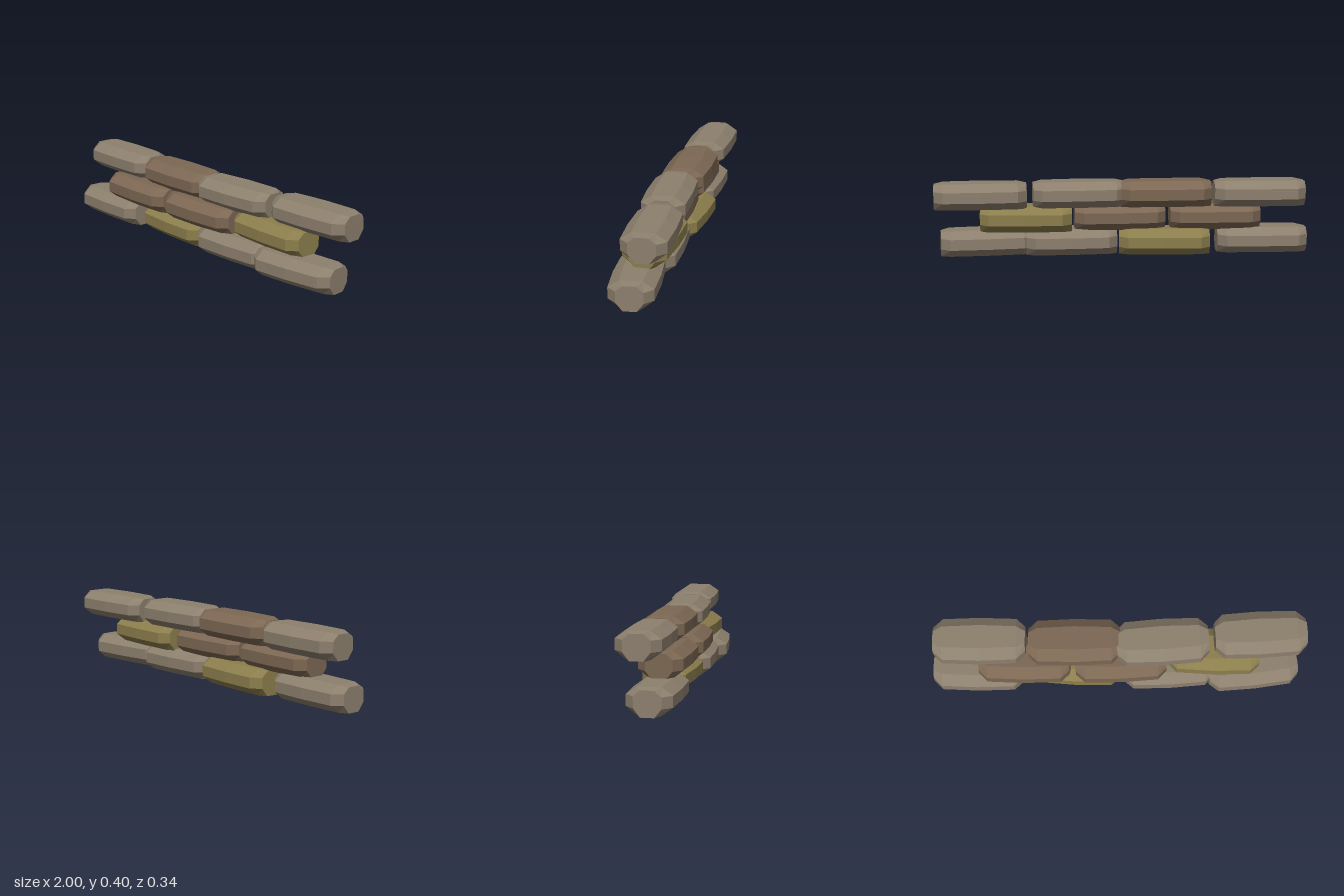
import * as THREE from 'three';

const COLORS = { taupe: 0x8c7f6d, brown: 0x7c6753, gold: 0x8b7d4c };

// Stations along a bag: x, half depth, half width of the flat, top height
const STATIONS = [
  [-0.243, 0.068, 0.034, 0.130],
  [-0.195, 0.114, 0.058, 0.138],
  [0, 0.121, 0.065, 0.139],
  [0.195, 0.114, 0.058, 0.138],
  [0.243, 0.068, 0.034, 0.130],
];

// Octagonal cross-section, starting at the front lower corner
function ring([x, depth, flat, top]) {
  return [
    [depth, 0.043], [depth, 0.1], [flat, top], [-flat, top],
    [-depth, 0.1], [-depth, 0.043], [-flat, 0], [flat, 0],
  ].map(([z, y]) => [x, y, z]);
}

// Loft the sections into a faceted bag closed at both ends
function bagGeometry() {
  const rings = STATIONS.map(ring);
  const n = 8, last = rings.length - 1, pos = [];
  const tri = (a, b, c) => pos.push(...a, ...b, ...c);
  for (let i = 0; i < last; i++) {
    for (let j = 0; j < n; j++) {
      const k = (j + 1) % n;
      const a = rings[i][j], b = rings[i + 1][j], c = rings[i + 1][k], d = rings[i][k];
      tri(a, b, c);
      tri(a, c, d);
    }
  }
  for (let j = 1; j < n - 1; j++) {
    tri(rings[0][0], rings[0][j], rings[0][j + 1]);
    tri(rings[last][0], rings[last][j + 1], rings[last][j]);
  }
  const geo = new THREE.BufferGeometry();
  geo.setAttribute('position', new THREE.Float32BufferAttribute(pos, 3));
  geo.computeVertexNormals();
  return geo;
}

// Courses of the wall; each bag is x, z, turn, colour
const COURSES = [
  { name: 'bottomCourse', y: 0, bags: [
    [-0.755, 0.005, -0.03, 'taupe'],
    [-0.225, -0.015, -0.07, 'gold'],
    [0.275, 0.015, 0.03, 'taupe'],
    [0.73, 0.03, 0.09, 'taupe'],
  ] },
  { name: 'middleCourse', y: 0.131, bags: [
    [-0.5, 0.012, -0.03, 'brown'],
    [0.015, 0.02, 0.02, 'brown'],
    [0.515, -0.012, -0.05, 'gold'],
  ] },
  { name: 'topCourse', y: 0.261, bags: [
    [-0.73, -0.053, -0.02, 'taupe'],
    [-0.228, -0.034, -0.01, 'brown'],
    [0.237, -0.024, 0.04, 'taupe'],
    [0.757, -0.053, 0.03, 'taupe'],
  ] },
];

export function createModel() {
  const model = new THREE.Group();
  model.name = 'sandbagWall';
  const geo = bagGeometry();
  const materials = {};
  for (const key in COLORS) {
    materials[key] = new THREE.MeshStandardMaterial({ color: COLORS[key], flatShading: true });
  }
  for (const { name, y, bags } of COURSES) {
    const course = new THREE.Group();
    course.name = name;
    course.position.y = y;
    bags.forEach(([x, z, turn, color], i) => {
      const bag = new THREE.Mesh(geo, materials[color]);
      bag.name = `sandbag${i + 1}`;
      bag.position.set(x, 0, z);
      bag.rotation.y = turn;
      course.add(bag);
    });
    model.add(course);
  }
  return model;
}
